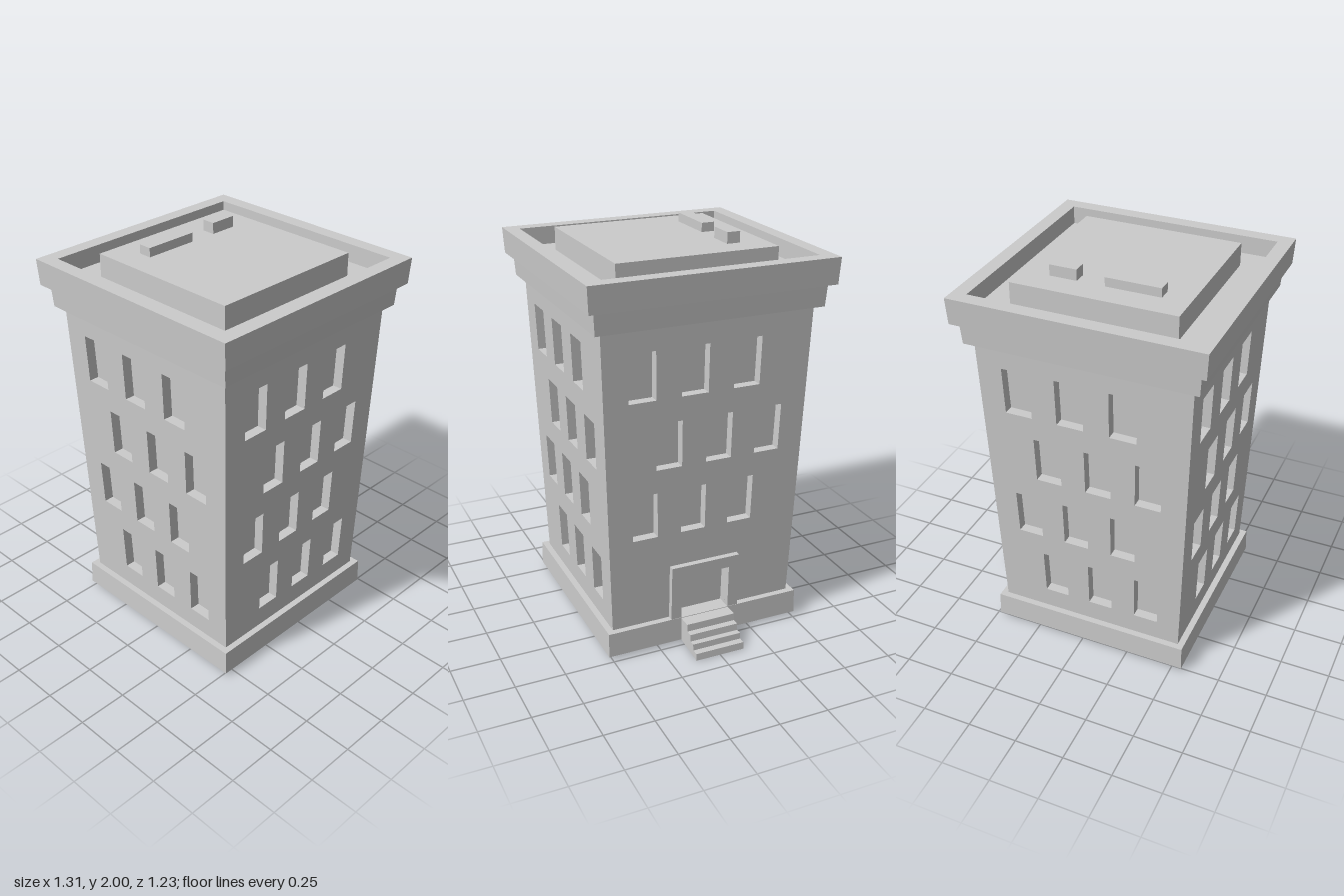
import * as THREE from 'three';

const CX = -0.038;      // the tower sits a little off centre to leave room for the stairs
const RECESS = 0.05;    // depth of window and door openings
const wallHalf = (y) => 0.482 + (y - 0.145) * 0.0335; // walls flare outwards going up

const material = new THREE.MeshStandardMaterial({ color: 0xcccccc, flatShading: true });

function addMesh(parent, name, geometry) {
  const flat = geometry.index ? geometry.toNonIndexed() : geometry;
  flat.computeVertexNormals();
  const mesh = new THREE.Mesh(flat, material);
  mesh.name = name;
  parent.add(mesh);
  return mesh;
}

// Square solid from a profile of [half width, y], listed from bottom to top
function squareLathe(profile) {
  const points = profile.map(([h, y]) => new THREE.Vector2(h * Math.SQRT2, y));
  return new THREE.LatheGeometry(points, 4, Math.PI / 4);
}

function box(x0, x1, y0, y1, z0, z1) {
  return new THREE.BoxGeometry(x1 - x0, y1 - y0, z1 - z0)
    .translate((x0 + x1) / 2, (y0 + y1) / 2, (z0 + z1) / 2);
}

function outline(points, Type = THREE.Shape) {
  return new Type(points.map(([x, y]) => new THREE.Vector2(x, y)));
}

// Opening whose sides follow the flare of the wall
function opening(u, width, y0, y1) {
  const k = wallHalf(y1) / wallHalf(y0);
  const a = u - width / 2, b = u + width / 2;
  return outline([[a, y0], [a * k, y1], [b * k, y1], [b, y0]], THREE.Path);
}

// Window rows: bottom, top, width, centres; alternate rows are staggered
const ROWS = [
  [0.255, 0.495, 0.125, [-0.185, 0.058, 0.305]],
  [0.615, 0.85, 0.128, [-0.312, -0.063, 0.186]],
  [0.97, 1.205, 0.131, [-0.193, 0.063, 0.318]],
  [1.325, 1.565, 0.136, [-0.331, -0.068, 0.197]],
];

// One wall slab with openings, leaning outwards and mitred at the corners
function wallGeometry(hasDoor) {
  const y0 = 0.1, y1 = 1.7;
  const a = wallHalf(y0), b = wallHalf(y1);
  const shape = outline([[-a, y0], [a, y0], [b, y1], [-b, y1]]);
  ROWS.forEach(([bottom, top, width, centres], row) => {
    if (hasDoor && row === 0) return;
    centres.forEach((u) => shape.holes.push(opening(u, width, bottom, top)));
  });
  if (hasDoor) shape.holes.push(opening(0, 0.255, 0.13, 0.375));

  const geometry = new THREE.ExtrudeGeometry(shape, { depth: RECESS, bevelEnabled: false });
  const p = geometry.attributes.position;
  for (let i = 0; i < p.count; i++) {
    const x = p.getX(i), y = p.getY(i), z = p.getZ(i) - RECESS;
    if (Math.abs(x) > 0.45) p.setX(i, x + Math.sign(x) * z);
    p.setZ(i, z + wallHalf(y));
  }
  return geometry;
}

// Door surround, leaning with the wall
function doorFrameGeometry() {
  const shape = outline([
    [-0.182, 0.13], [-0.128, 0.13], [-0.128, 0.375], [0.128, 0.375],
    [0.128, 0.13], [0.182, 0.13], [0.182, 0.435], [-0.182, 0.435],
  ]);
  const geometry = new THREE.ExtrudeGeometry(shape, { depth: 0.04, bevelEnabled: false });
  const p = geometry.attributes.position;
  for (let i = 0; i < p.count; i++) p.setZ(i, p.getZ(i) - 0.01 + wallHalf(p.getY(i)));
  return geometry;
}

// Stepped stair block
function stairsGeometry() {
  const shape = outline([
    [0.44, 0.022], [0.655, 0.002], [0.652, 0.038], [0.617, 0.038], [0.615, 0.07],
    [0.585, 0.07], [0.582, 0.105], [0.547, 0.105], [0.545, 0.142], [0.44, 0.142],
  ]);
  return new THREE.ExtrudeGeometry(shape, { depth: 0.258, bevelEnabled: false })
    .translate(0, 0, -0.129);
}

export function createModel() {
  const model = new THREE.Group();
  model.name = 'building';
  const tower = new THREE.Group();
  tower.name = 'tower';
  tower.position.x = CX;
  model.add(tower);

  // Plinth
  addMesh(tower, 'base', squareLathe([[0, 0.02], [0.517, 0.02], [0.514, 0.145], [0, 0.145]]));

  // Inner core closes the backs of the openings
  addMesh(tower, 'windowPanes', squareLathe([
    [0, 0.1], [wallHalf(0.1) - RECESS, 0.1], [wallHalf(1.7) - RECESS, 1.7], [0, 1.7],
  ]));

  // Four walls; the door is on the +x side
  ['frontWall', 'doorWall', 'backWall', 'sideWall'].forEach((name, i) => {
    addMesh(tower, name, wallGeometry(i === 1)).rotation.y = i * Math.PI / 2;
  });
  addMesh(tower, 'doorFrame', doorFrameGeometry()).rotation.y = Math.PI / 2;

  // Cornice and parapet with a sunken roof deck
  addMesh(tower, 'lowerCornice', squareLathe([
    [0, 1.68], [0.57, 1.68], [0.577, 1.79], [0, 1.79],
  ]));
  addMesh(tower, 'parapet', squareLathe([
    [0, 1.79], [0.61, 1.79], [0.617, 1.92], [0.545, 1.92], [0.545, 1.83], [0, 1.83],
  ]));

  // Raised roof with two vents
  addMesh(tower, 'roofBlock', squareLathe([
    [0, 1.82], [0.407, 1.82], [0.407, 1.945], [0, 1.945],
  ]));
  addMesh(model, 'longRoofVent', box(-0.312, -0.04, 1.93, 1.99, -0.275, -0.208));
  addMesh(model, 'shortRoofVent', box(0.097, 0.233, 1.93, 2.0, -0.275, -0.208));

  addMesh(model, 'stairs', stairsGeometry());
  return model;
}
